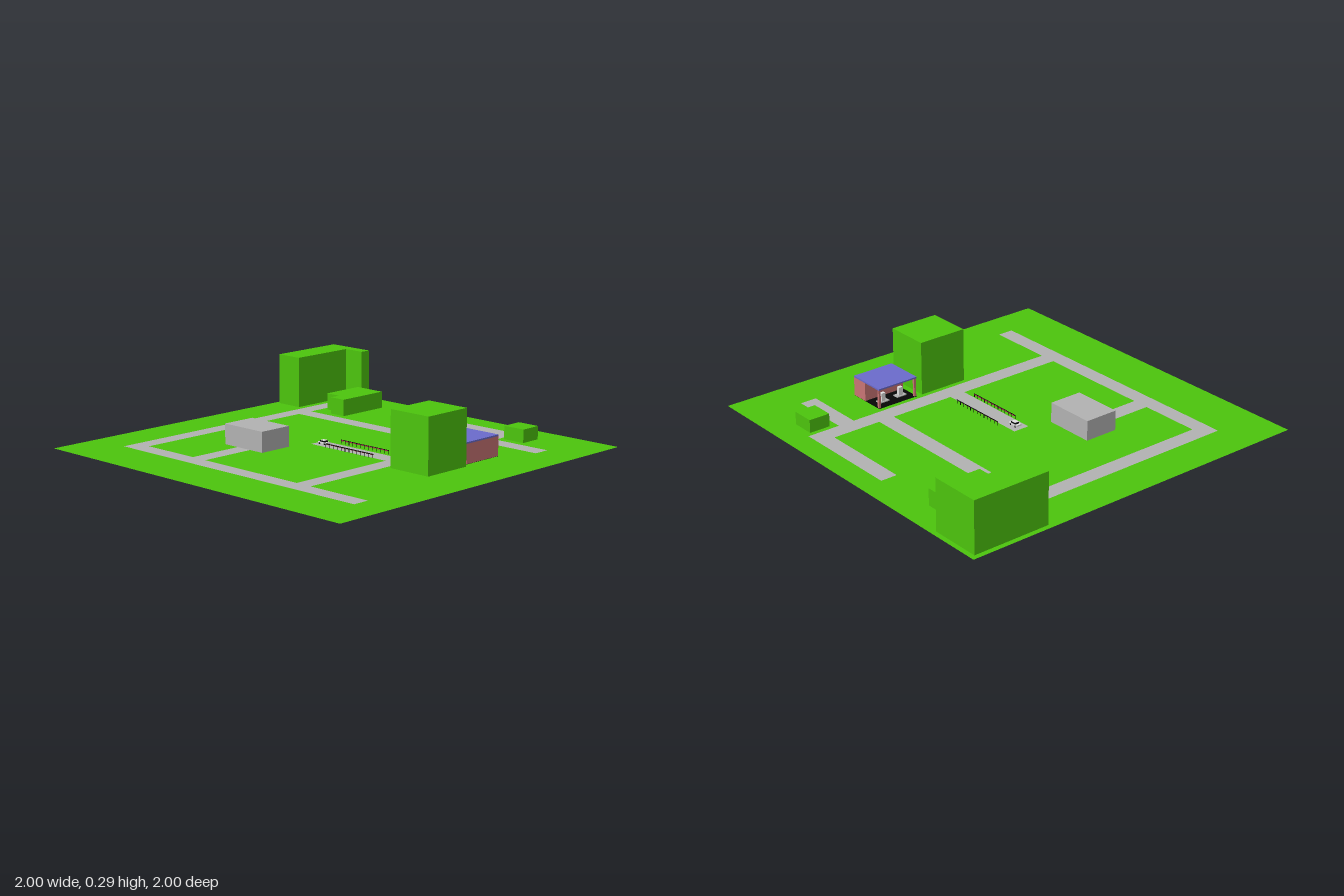
import * as THREE from 'three';

const mat = (name, color) => new THREE.MeshStandardMaterial({ name, color, side: THREE.DoubleSide });

export function createModel() {
  const town = new THREE.Group();
  town.name = 'townMap';
  const green = mat('grassGreen', 0x4cc40d);
  const grey = mat('roadGrey', 0xb2b2b2);
  const blue = mat('roofBlue', 0x6b6bcc);
  const red = mat('wallRed', 0xc87474);
  const black = mat('asphaltBlack', 0x060606);
  const white = mat('pumpWhite', 0xe0e0e0);
  const crimson = mat('railCrimson', 0xa02848);

  const add = (name, geo, material, parent = town) => {
    const m = new THREE.Mesh(geo, material);
    m.name = name;
    parent.add(m);
    return m;
  };
  // Box from min and max corners
  const box = (name, x0, x1, y0, y1, z0, z1, material, parent) => {
    const g = new THREE.BoxGeometry(x1 - x0, y1 - y0, z1 - z0);
    g.translate((x0 + x1) / 2, (y0 + y1) / 2, (z0 + z1) / 2);
    return add(name, g, material, parent);
  };

  // Flat areas as rectangles: x0, x1, z0, z1
  const roads = [
    [-0.785, -0.695, -0.877, 0.725], [-0.695, 0.82, 0.636, 0.725],
    [0.363, 0.455, -0.877, 0.636], [-0.15, 0.363, -0.877, -0.786],
    [-0.695, 0.363, -0.513, -0.422], [0.455, 0.79, -0.695, -0.604],
    [-0.15, 0.363, -0.06, 0.03], [-0.364, -0.273, 0.337, 0.636],
  ];
  const station = [0.48, 0.695, -0.427, -0.187];
  const openings = [
    [-0.973, -0.82, -0.973, -0.545], [-0.82, -0.698, -0.973, -0.914],
    [-0.666, -0.484, -0.85, -0.61], [-0.578, -0.484, -0.61, -0.55],
    [0.48, 0.605, -0.85, -0.733], [0.48, 0.722, -0.155, 0.12],
    [-0.455, -0.185, 0.15, 0.337],
  ];

  // Ground sheet cut into cells, each belonging to grass, road, floor or an open footprint
  const all = [...roads, station, ...openings];
  const cuts = i => [...new Set([-1, 1, ...all.flatMap(r => [r[i], r[i + 1]])])].sort((a, b) => a - b);
  const xs = cuts(0), zs = cuts(2);
  const within = (r, x, z) => x > r[0] && x < r[1] && z > r[2] && z < r[3];
  const cells = { grass: [], road: [], floor: [] };
  for (let i = 0; i < xs.length - 1; i++) {
    for (let j = 0; j < zs.length - 1; j++) {
      const [a, b, c, d] = [xs[i], xs[i + 1], zs[j], zs[j + 1]];
      const x = (a + b) / 2, z = (c + d) / 2;
      if (openings.some(r => within(r, x, z))) continue;
      const kind = within(station, x, z) ? 'floor' : roads.some(r => within(r, x, z)) ? 'road' : 'grass';
      cells[kind].push(a, 0, c, a, 0, d, b, 0, d, a, 0, c, b, 0, d, b, 0, c);
    }
  }
  const sheet = (name, points, material) => {
    const g = new THREE.BufferGeometry();
    g.setAttribute('position', new THREE.Float32BufferAttribute(points, 3));
    g.computeVertexNormals();
    add(name, g, material);
  };
  sheet('grass', cells.grass, green);
  sheet('roads', cells.road, grey);
  sheet('stationFloor', cells.floor, black);

  // Hollow building: walls and flat roof, open underneath
  const building = (name, outline, height, material) => {
    const g = new THREE.Group();
    g.name = name;
    const n = outline.length;
    outline.forEach(([x, z], i) => {
      const [u, w] = outline[(i + 1) % n];
      const wall = new THREE.PlaneGeometry(Math.hypot(u - x, w - z), height);
      wall.rotateY(Math.atan2(-(w - z), u - x));
      wall.translate((x + u) / 2, height / 2, (z + w) / 2);
      add('wall', wall, material, g);
    });
    const roof = new THREE.ShapeGeometry(new THREE.Shape(outline.map(([x, z]) => new THREE.Vector2(x, -z))));
    roof.rotateX(-Math.PI / 2).translate(0, height, 0);
    add('flatRoof', roof, material, g);
    town.add(g);
  };
  // Outlines run anticlockwise seen from above so that walls face outward
  const rect = ([x0, x1, z0, z1]) => [[x0, z1], [x1, z1], [x1, z0], [x0, z0]];
  building('tallCornerBlock', [[-0.973, -0.545], [-0.82, -0.545], [-0.82, -0.914],
    [-0.698, -0.914], [-0.698, -0.973], [-0.973, -0.973]], 0.275, green);
  building('lowBlock', [[-0.666, -0.61], [-0.578, -0.61], [-0.578, -0.55],
    [-0.484, -0.55], [-0.484, -0.85], [-0.666, -0.85]], 0.09, green);
  building('smallBlock', rect(openings[4]), 0.07, green);
  building('towerBlock', rect(openings[5]), 0.29, green);
  building('greyHall', rect(openings[6]), 0.107, grey);

  // Station: red shop at the back, blue canopy on posts, two pumps
  const stop = new THREE.Group();
  stop.name = 'station';
  town.add(stop);
  box('shop', 0.6, 0.695, 0.001, 0.102, -0.427, -0.187, red, stop);
  box('canopyRoof', 0.48, 0.695, 0.102, 0.11, -0.427, -0.187, blue, stop);
  for (const z of [-0.419, -0.195]) {
    box('canopyPost', 0.484, 0.496, 0.001, 0.102, z - 0.006, z + 0.006, red, stop);
  }
  for (const z of [-0.36, -0.25]) {
    box('pumpIsland', 0.525, 0.56, 0.001, 0.006, z - 0.03, z + 0.03, grey, stop);
    box('pump', 0.533, 0.552, 0.006, 0.05, z - 0.012, z + 0.012, white, stop);
  }

  // Railings on both sides of the short lane
  for (const [z, inward] of [[-0.08, 1], [0.033, -1]]) {
    const rail = new THREE.Group();
    rail.name = 'railing';
    town.add(rail);
    box('topRail', -0.045, 0.285, 0.017, 0.021, z - 0.001, z + 0.001, black, rail);
    for (let i = 0; i <= 12; i++) {
      const x = -0.044 + i * 0.0272;
      box('railPost', x - 0.001, x + 0.001, 0, 0.017, z - 0.001, z + 0.001, black, rail);
      if (i < 12) {
        const zi = z + inward * 0.002;
        box('railPanel', x + 0.005, x + 0.022, 0.014, 0.02, zi - 0.0005, zi + 0.0005, crimson, rail);
      }
    }
  }

  // Small car parked on the lane
  const car = new THREE.Group();
  car.name = 'car';
  town.add(car);
  box('carBody', -0.128, -0.07, 0.005, 0.013, -0.028, 0.003, white, car);
  box('carWindows', -0.115, -0.083, 0.013, 0.02, -0.025, 0, black, car);
  box('carRoof', -0.112, -0.086, 0.02, 0.022, -0.024, -0.001, white, car);
  for (const x of [-0.117, -0.081]) {
    for (const z of [-0.027, 0.002]) {
      const wheel = add('wheel', new THREE.CylinderGeometry(0.005, 0.005, 0.005, 10), black, car);
      wheel.rotation.x = Math.PI / 2;
      wheel.position.set(x, 0.005, z);
    }
  }
  return town;
}
